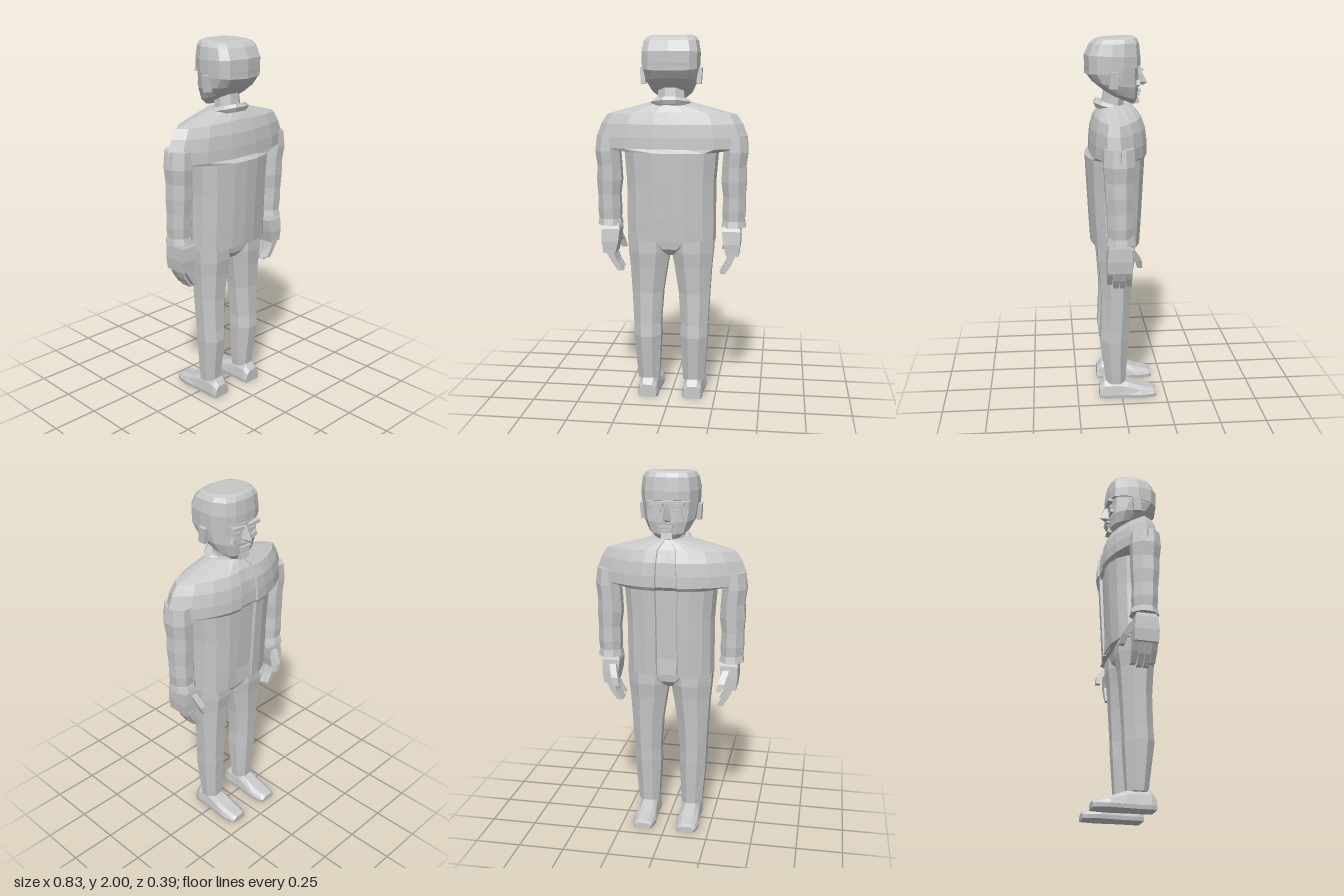
import * as THREE from 'three';

const grey = new THREE.MeshStandardMaterial({ color: 0xc8c8c8 });
grey.name = 'plain grey';

// Skins a stack of rings; each ring runs front (-z) -> +x -> back. side = -1 mirrors it.
function loft(name, rings, side = 1) {
  const pos = [];
  const tri = (a, b, c) => {
    for (const p of side < 0 ? [a, c, b] : [a, b, c]) pos.push(p[0] * side, p[1], p[2]);
  };
  const n = rings[0].length;
  const middle = (r) => [0, 1, 2].map((k) => r.reduce((s, p) => s + p[k], 0) / n);
  const first = rings[0], last = rings[rings.length - 1];
  const low = middle(first), high = middle(last);
  for (let j = 0; j < n; j++) {
    const k = (j + 1) % n;
    for (let i = 0; i + 1 < rings.length; i++) {
      const [a, b, c, d] = [rings[i][j], rings[i][k], rings[i + 1][k], rings[i + 1][j]];
      tri(a, c, b);
      tri(a, d, c);
    }
    tri(low, first[j], first[k]);
    tri(high, last[k], last[j]);
  }
  const g = new THREE.BufferGeometry();
  g.setAttribute('position', new THREE.Float32BufferAttribute(pos, 3));
  g.computeVertexNormals();
  const mesh = new THREE.Mesh(g, grey);
  mesh.name = name;
  return mesh;
}

// Flat-sided n-gon ring; rx and rz are half widths.
function ring(y, cx, cz, rx, rz, n = 8, tilt = 0) {
  return Array.from({ length: n }, (_, i) => {
    const t = ((i + 0.5) / n) * Math.PI * 2, k = 1 / Math.cos(Math.PI / n);
    const dz = -Math.cos(t) * rz * k;
    return [cx + Math.sin(t) * rx * k, y + dz * tilt, cz + dz];
  });
}

// Completes a ring from its +x half, listed from the front centre to the back centre.
const mirrored = (half) => [...half, ...half.slice(1, -1).reverse().map(([x, y, z]) => [-x, y, z])];

function box(name, w, h, d, x, y, z, rx = 0, rz = 0) {
  const m = new THREE.Mesh(new THREE.BoxGeometry(w, h, d), grey);
  m.name = name;
  m.position.set(x, y, z);
  m.rotation.set(rx, 0, rz);
  return m;
}

function makeJacket() {
  const waistX = [0, 0.055, 0.06, 0.12, 0.19, 0.23, 0.245, 0.235, 0.18, 0.08, 0];
  const waistZ = [-0.088, -0.088, -0.1, -0.095, -0.07, -0.03, 0.03, 0.09, 0.135, 0.16, 0.165];
  const chestX = [0, 0.055, 0.06, 0.13, 0.23, 0.33, 0.415, 0.37, 0.24, 0.09, 0];
  const chestZ = [-0.128, -0.13, -0.14, -0.132, -0.1, -0.045, 0.03, 0.095, 0.145, 0.168, 0.17];
  const row = (y, X, Z, sx, sz, lift = 0) =>
    mirrored(X.map((x, i) => [x * sx, y + lift * (1 - x / X[6]), 0.03 + (Z[i] - 0.03) * sz]));
  return loft('jacket', [
    row(0.9, waistX, waistZ, 1, 1),
    row(1.02, waistX, waistZ, 1.0, 1.06),
    row(1.22, waistX, waistZ, 1.0, 1.14),
    row(1.38, waistX, waistZ, 1.05, 1.2),
    row(1.4, chestX, chestZ, 1.0, 1.0),
    row(1.46, chestX, chestZ, 0.995, 0.99),
    row(1.53, chestX, chestZ, 0.93, 0.94),
    row(1.58, chestX, chestZ, 0.85, 0.8, 0.015),
    row(1.645, chestX, chestZ, 0.26, 0.55),
  ]);
}

function makeHead() {
  const head = new THREE.Group();
  head.name = 'head';
  // Fractions of half width and of depth around half a skull ring
  const X = [0, 0.42, 0.75, 0.97, 1, 0.94, 0.7, 0];
  const T = [0, 0.02, 0.1, 0.33, 0.55, 0.8, 0.93, 1];
  const row = (yFront, yBack, w, zf, zb) =>
    mirrored(X.map((x, i) => [x * w, yFront + (yBack - yFront) * T[i], zf + (zb - zf) * T[i]]));
  head.add(loft('skull', [
    row(1.648, 1.71, 0.075, -0.075, 0.07),
    row(1.675, 1.73, 0.11, -0.09, 0.1),
    row(1.74, 1.77, 0.138, -0.098, 0.15),
    row(1.8, 1.82, 0.148, -0.096, 0.187),
    row(1.845, 1.85, 0.151, -0.098, 0.19),
  ]));
  head.add(loft('hair', [
    row(1.855, 1.81, 0.154, -0.108, 0.188),
    row(1.9, 1.91, 0.157, -0.108, 0.19),
    row(1.97, 1.965, 0.146, -0.1, 0.162),
    row(1.992, 1.985, 0.13, -0.088, 0.14),
    row(2.0, 1.994, 0.108, -0.07, 0.105),
  ]));
  // Wedge nose
  head.add(loft('nose', [
    [[0, 1.745, -0.125], [0.026, 1.745, -0.09], [-0.026, 1.745, -0.09]],
    [[0, 1.758, -0.147], [0.024, 1.765, -0.09], [-0.024, 1.765, -0.09]],
    [[0, 1.835, -0.108], [0.01, 1.835, -0.09], [-0.01, 1.835, -0.09]],
  ]));
  head.add(box('upperLip', 0.07, 0.012, 0.025, 0, 1.718, -0.098));
  head.add(box('lowerLip', 0.055, 0.012, 0.022, 0, 1.698, -0.094));
  head.add(box('chin', 0.06, 0.032, 0.03, 0, 1.667, -0.086, 0.2));
  for (const s of [-1, 1]) {
    head.add(box('brow', 0.075, 0.016, 0.028, s * 0.055, 1.832, -0.101, 0, s * 0.08));
    head.add(box('eye', 0.045, 0.018, 0.009, s * 0.055, 1.8, -0.097));
    head.add(box('cheek', 0.04, 0.025, 0.02, s * 0.066, 1.762, -0.09, 0, s * 0.3));
    head.add(box('ear', 0.025, 0.085, 0.045, s * 0.152, 1.785, 0.043, -0.08, s * -0.06));
  }
  return head;
}

function makeArm(s) {
  const arm = new THREE.Group();
  arm.name = s > 0 ? 'leftArm' : 'rightArm';
  // Sleeve with slight folds: height, centre x and z, half widths
  const sleeve = [
    [0.99, 0.342, 0.028, 0.058, 0.06], [1.06, 0.344, 0.028, 0.063, 0.066],
    [1.14, 0.345, 0.03, 0.06, 0.066], [1.22, 0.342, 0.032, 0.068, 0.072],
    [1.3, 0.342, 0.032, 0.064, 0.074], [1.38, 0.35, 0.034, 0.066, 0.08],
    [1.47, 0.345, 0.034, 0.06, 0.075],
  ];
  arm.add(loft('sleeve', sleeve.map((r) => ring(...r)), s));
  arm.add(loft('cuff', [ring(0.97, 0.342, 0.026, 0.066, 0.074), ring(1.005, 0.342, 0.026, 0.06, 0.066)], s));
  arm.add(loft('palm', [
    ring(0.815, 0.34, 0.03, 0.034, 0.064, 4), ring(0.88, 0.336, 0.031, 0.046, 0.066, 4),
    ring(0.95, 0.332, 0.03, 0.05, 0.06, 4), ring(0.985, 0.335, 0.028, 0.042, 0.045, 4),
  ], s));
  // Curled fingers
  for (let i = 0; i < 4; i++) {
    const z = 0.08 - i * 0.034, drop = [0.02, 0, 0, 0.01][i];
    arm.add(loft('finger', [
      ring(0.708 + drop, 0.285, z, 0.015, 0.013, 4), ring(0.76 + drop, 0.317, z, 0.017, 0.015, 4),
      ring(0.83, 0.342, z, 0.022, 0.015, 4),
    ], s));
  }
  arm.add(loft('thumb', [
    ring(0.82, 0.285, -0.08, 0.014, 0.014, 4), ring(0.865, 0.3, -0.07, 0.018, 0.018, 4),
    ring(0.93, 0.318, -0.025, 0.018, 0.022, 4),
  ], s));
  return arm;
}

function makeLeg(s) {
  const leg = new THREE.Group();
  leg.name = s > 0 ? 'leftLeg' : 'rightLeg';
  const trouser = [
    [0.09, 0.127, 0.036, 0.058, 0.054], [0.13, 0.127, 0.037, 0.062, 0.058],
    [0.35, 0.13, 0.044, 0.076, 0.079], [0.42, 0.132, 0.04, 0.075, 0.077],
    [0.6, 0.13, 0.033, 0.086, 0.08], [0.75, 0.123, 0.033, 0.102, 0.09],
    [0.83, 0.12, 0.032, 0.113, 0.1], [0.91, 0.12, 0.032, 0.118, 0.1],
  ];
  leg.add(loft('trouserLeg', trouser.map((r) => ring(...r)), s));
  // Shoe cross-sections from toe to heel: z, half width, height
  const shoe = [
    [-0.195, 0.045, 0.035], [-0.175, 0.056, 0.045], [-0.11, 0.066, 0.06],
    [-0.03, 0.06, 0.09], [0.02, 0.057, 0.105], [0.1, 0.058, 0.1], [0.128, 0.05, 0.07],
  ];
  leg.add(loft('shoe', shoe.map(([z, w, h]) => [
    [0.125 + w * 0.5, h, z], [0.125 + w * 0.85, h * 0.72, z], [0.125 + w, 0.02, z], [0.125 + w * 0.95, 0, z],
    [0.125 - w * 0.95, 0, z], [0.125 - w, 0.02, z], [0.125 - w * 0.85, h * 0.72, z], [0.125 - w * 0.5, h, z],
  ]), s));
  return leg;
}

export function createModel() {
  const man = new THREE.Group();
  man.name = 'standingMan';
  man.add(makeJacket(), makeHead());
  man.add(box('shirtFlap', 0.105, 0.09, 0.008, 0, 0.95, -0.093, 0.06));
  man.add(loft('hips', [
    ring(0.815, 0, 0.032, 0.03, 0.06), ring(0.85, 0, 0.032, 0.1, 0.09), ring(0.92, 0, 0.032, 0.23, 0.1),
  ]));
  man.add(loft('neck', [ring(1.58, 0, 0.05, 0.075, 0.06), ring(1.76, 0, 0.025, 0.068, 0.055)]));
  man.add(loft('collar', [
    ring(1.612, 0, 0.045, 0.095, 0.088, 10, 0.25),
    ring(1.635, 0, 0.045, 0.112, 0.097, 10, 0.25),
    ring(1.655, 0, 0.045, 0.092, 0.085, 10, 0.25),
  ]));
  for (const s of [-1, 1]) man.add(makeArm(s), makeLeg(s));
  return man;
}
